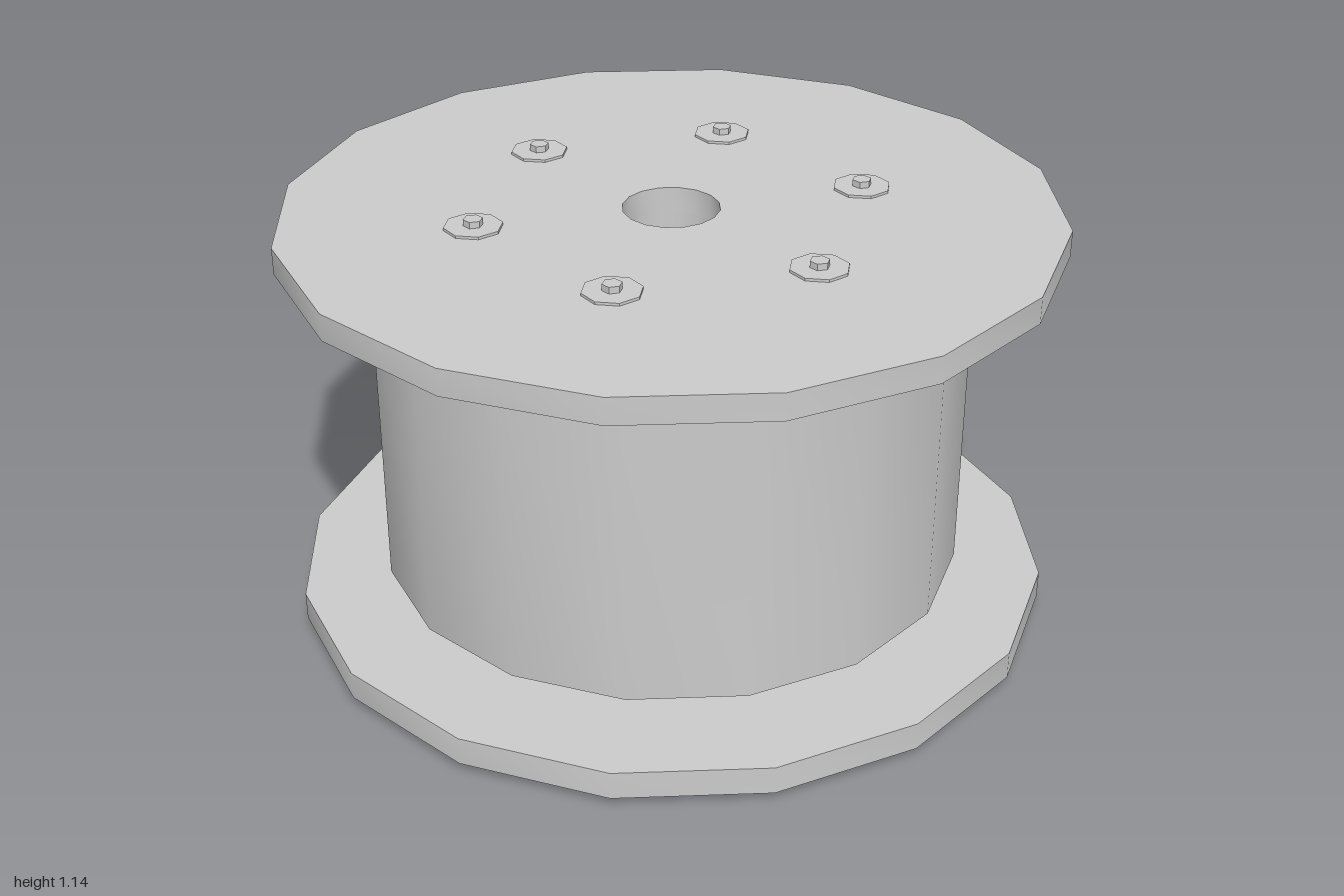
import * as THREE from 'three';
import { toCreasedNormals } from 'three/addons/utils/BufferGeometryUtils.js';

const SIDES = 16;
const HOLE = 0.125;

export function createModel() {
  const group = new THREE.Group();
  const smooth = new THREE.MeshStandardMaterial({ color: 0xcccccc });
  const flat = new THREE.MeshStandardMaterial({ color: 0xcccccc, flatShading: true });

  const lathe = (points) =>
    new THREE.LatheGeometry(points.map(([r, y]) => new THREE.Vector2(r, y)), SIDES);

  function add(name, geometry, material, parent = group) {
    const mesh = new THREE.Mesh(geometry, material);
    mesh.name = name;
    parent.add(mesh);
    return mesh;
  }

  // End discs with a round axle hole
  function flange(name, y0, y1) {
    const ring = lathe([[HOLE, y0], [1, y0], [1, y1], [HOLE, y1], [HOLE, y0]]);
    add(name, toCreasedNormals(ring, 0.5), smooth);
  }
  flange('lowerFlange', 0.028, 0.103);
  flange('upperFlange', 1.042, 1.112);

  // Wound drum with bevelled ends; the lower rim tilts slightly up to the front
  const drum = lathe([[0.67, 0.103], [0.77, 0.138], [0.77, 1.013], [0.67, 1.042]]);
  const pos = drum.attributes.position;
  for (let i = 0; i < pos.count; i++) {
    if (Math.abs(pos.getY(i) - 0.138) < 0.001) pos.setY(i, 0.138 + 0.01 * pos.getZ(i));
  }
  add('drum', toCreasedNormals(drum, 0.5), smooth);

  // Axle bore, seen from inside
  add('axleBore', lathe([[HOLE, 1.042], [HOLE, 0.103]]), smooth);

  // Six bolts with washers on each flange
  const washer = new THREE.CylinderGeometry(0.075, 0.075, 0.007, 8);
  const bolt = new THREE.CylinderGeometry(0.025, 0.025, 0.028, 6).rotateY(Math.PI / 6);
  for (const [side, y, dir] of [['upper', 1.112, 1], ['lower', 0.028, -1]]) {
    for (let i = 0; i < 6; i++) {
      const a = (i * Math.PI) / 3;
      const fastener = new THREE.Group();
      fastener.name = side + 'Fastener';
      fastener.position.set(0.505 * Math.cos(a), y, 0.505 * Math.sin(a));
      add('washer', washer, flat, fastener).position.y = dir * 0.0035;
      add('bolt', bolt, flat, fastener).position.y = dir * 0.014 - (dir > 0 ? 0.004 : 0);
      group.add(fastener);
    }
  }
  return group;
}
